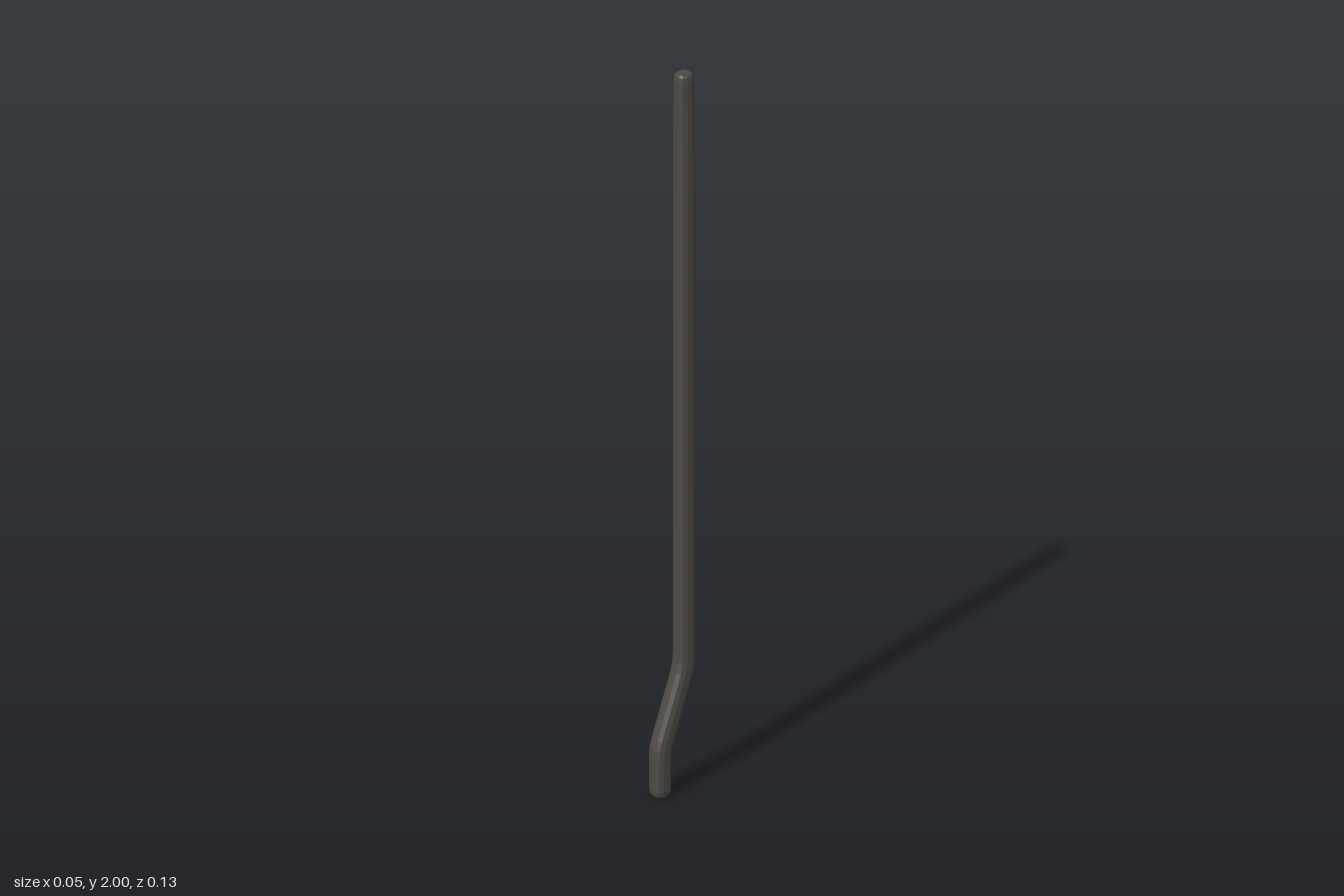
import * as THREE from 'three';

// Rounded-square cross-section, three points per corner
function sectionPoints(half, radius) {
  const pts = [];
  for (let c = 0; c < 4; c++) {
    const mid = Math.PI / 4 + c * Math.PI / 2;
    const cx = Math.sign(Math.cos(mid)) * (half - radius);
    const cz = Math.sign(Math.sin(mid)) * (half - radius);
    for (let k = -1; k <= 1; k++) {
      const a = mid + k * Math.PI / 4;
      pts.push([cx + radius * Math.cos(a), cz + radius * Math.sin(a)]);
    }
  }
  return pts;
}

// Join the tilted rings into a closed skin
function loft(rings, section) {
  const pos = [], idx = [], n = section.length;
  for (const [y, z, scale, tilt] of rings) {
    for (const [sx, sz] of section) {
      const d = sz * scale;
      pos.push(sx * scale, y + d * Math.sin(tilt), z + d * Math.cos(tilt));
    }
  }
  for (let r = 0; r < rings.length - 1; r++) {
    for (let i = 0; i < n; i++) {
      const a = r * n + i, b = r * n + (i + 1) % n;
      idx.push(a, a + n, b, b, a + n, b + n);
    }
  }
  // Flat end caps
  const top = (rings.length - 1) * n;
  for (let i = 1; i < n - 1; i++) {
    idx.push(0, i, i + 1);
    idx.push(top, top + i + 1, top + i);
  }
  const geo = new THREE.BufferGeometry();
  geo.setAttribute('position', new THREE.Float32BufferAttribute(pos, 3));
  geo.setIndex(idx);
  geo.computeVertexNormals();
  return geo;
}

export function createModel() {
  const group = new THREE.Group();
  group.name = 'bentBar';
  const material = new THREE.MeshStandardMaterial({ color: 0x4c4945, flatShading: true });

  // Height, z offset, scale and tilt of each ring
  const rings = [
    [0, 0.04, 0.72, 0],
    [0.006, 0.04, 0.9, 0],
    [0.018, 0.04, 1, 0],
    [0.11, 0.04, 1, 0.04],
    [0.13, 0.038, 1, 0.17],
    [0.15, 0.032, 1, 0.3],
    [0.32, -0.032, 1, 0.3],
    [0.35, -0.039, 1, 0.17],
    [0.38, -0.041, 1, 0.04],
    [1.72, -0.041, 1, 0],
    [1.98, -0.04, 0.92, 0],
    [1.994, -0.04, 0.84, 0],
    [2, -0.04, 0.7, 0],
  ];
  const bar = new THREE.Mesh(loft(rings, sectionPoints(0.025, 0.017)), material);
  bar.name = 'bar';
  group.add(bar);
  return group;
}
